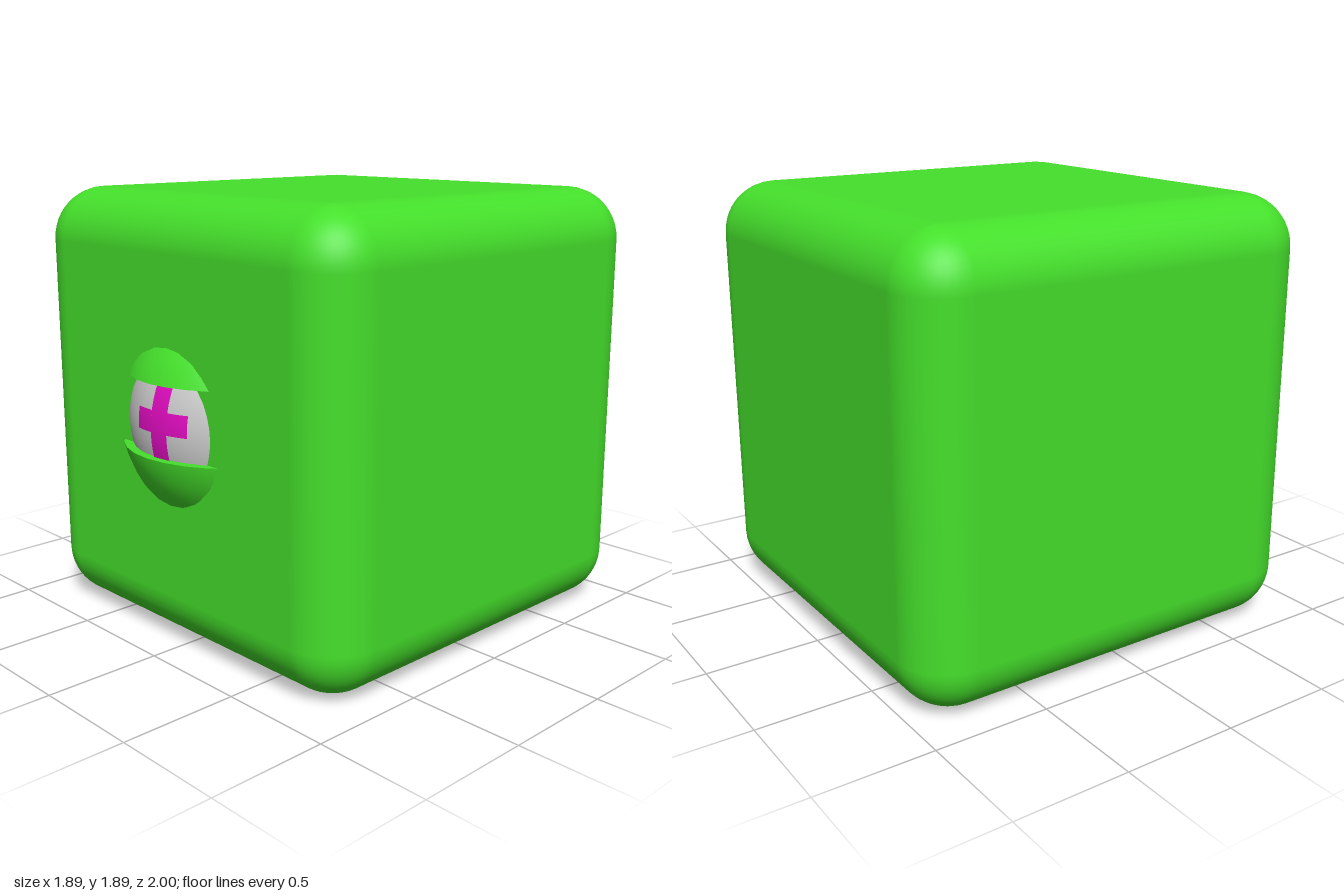
import * as THREE from 'three';
import { RoundedBoxGeometry } from 'three/addons/geometries/RoundedBoxGeometry.js';

const EYE_R = 0.474, LID_R = 0.511;

export function createModel() {
  const model = new THREE.Group();
  const green = new THREE.MeshStandardMaterial({ color: 0x45e02b });
  const grey = new THREE.MeshStandardMaterial({ color: 0xcccccc });
  const magenta = new THREE.MeshStandardMaterial({ color: 0xe00cc0 });

  const add = (parent, name, geometry, material) => {
    const mesh = new THREE.Mesh(geometry, material);
    mesh.name = name;
    parent.add(mesh);
    return mesh;
  };

  // Rounded cube body
  add(model, 'body', new RoundedBoxGeometry(1.89, 1.89, 1.89, 6, 0.23), green)
    .position.set(0, 0.945, -0.055);

  // Eye sunk into the front face
  const eye = new THREE.Group();
  eye.name = 'eye';
  eye.position.set(0, 0.96, 0.5);
  model.add(eye);
  add(eye, 'eyeball', new THREE.SphereGeometry(EYE_R, 48, 32), grey);

  // Eyelids: sphere caps closed by a flat disc at height y
  const addLid = (name, y, upper) => {
    const lid = new THREE.Group();
    lid.name = name;
    const angle = Math.acos(y / LID_R);
    const start = upper ? 0 : angle;
    const length = upper ? angle : Math.PI - angle;
    add(lid, name + 'Shell', new THREE.SphereGeometry(LID_R, 32, 12, 0, Math.PI * 2, start, length), green);
    const disc = new THREE.CircleGeometry(LID_R * Math.sin(angle), 32);
    disc.rotateX(upper ? Math.PI / 2 : -Math.PI / 2);
    add(lid, name + 'Edge', disc, green).position.y = y;
    eye.add(lid);
  };
  addLid('upperLid', 0.195, true);
  addLid('lowerLid', -0.105, false);

  // Cross-shaped pupil: flat patches wrapped onto the eyeball
  const pupil = new THREE.Group();
  pupil.name = 'pupil';
  eye.add(pupil);
  const addPatch = (name, x, y, w, h) => {
    const g = new THREE.PlaneGeometry(w, h, 8, 12).translate(x, y, 0);
    const p = g.attributes.position;
    const r = EYE_R + 0.003;
    for (let i = 0; i < p.count; i++) {
      p.setZ(i, Math.sqrt(r * r - p.getX(i) ** 2 - p.getY(i) ** 2));
    }
    g.computeVertexNormals();
    add(pupil, name, g, magenta);
  };
  addPatch('pupilUpright', 0.045, 0.045, 0.09, 0.3);
  for (const side of [-1, 1]) {
    addPatch(side < 0 ? 'pupilRightArm' : 'pupilLeftArm', 0.045 + side * 0.0925, 0.045, 0.095, 0.09);
  }

  return model;
}
